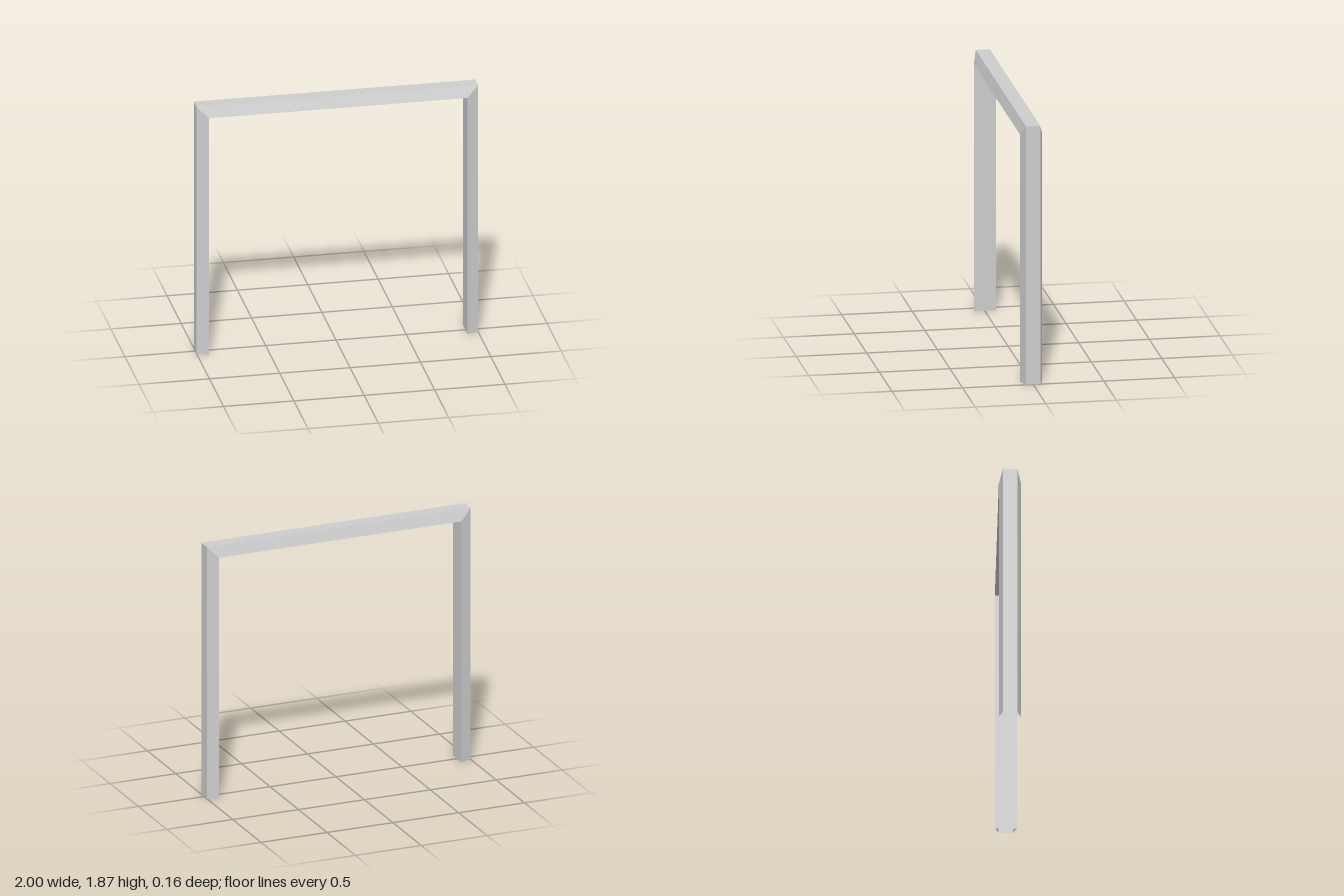
import * as THREE from 'three';

// Outer and inner outlines of the frame, foot to foot
const OUTER = [[-1, 0], [-1, 1.87], [1, 1.87], [1, 0]];
const INNER = [[-0.92, 0], [-0.92, 1.79], [0.92, 1.79], [0.92, 0]];
const OUTER_Z = 0.05, INNER_Z = 0.078; // half depths of the tapered section

// Mitred trapezoid section at one station of the frame
function section(i) {
  const [ox, oy] = OUTER[i], [ix, iy] = INNER[i];
  return [[ox, oy, OUTER_Z], [ox, oy, -OUTER_Z], [ix, iy, -INNER_Z], [ix, iy, INNER_Z]];
}

// Open-ended hollow beam joining two stations
function beam(name, from, to, material) {
  const a = section(from), b = section(to), points = [];
  for (let i = 0; i < 4; i++) {
    const j = (i + 1) % 4;
    points.push(...a[i], ...b[i], ...b[j], ...a[i], ...b[j], ...a[j]);
  }
  const geometry = new THREE.BufferGeometry();
  geometry.setAttribute('position', new THREE.Float32BufferAttribute(points, 3));
  geometry.computeVertexNormals();
  const mesh = new THREE.Mesh(geometry, material);
  mesh.name = name;
  return mesh;
}

export function createModel() {
  const group = new THREE.Group();
  group.name = 'doorFrame';
  const material = new THREE.MeshStandardMaterial({
    color: 0xcccccc, flatShading: true, side: THREE.DoubleSide,
  });
  ['rightPost', 'lintel', 'leftPost'].forEach((name, i) => group.add(beam(name, i, i + 1, material)));
  return group;
}
